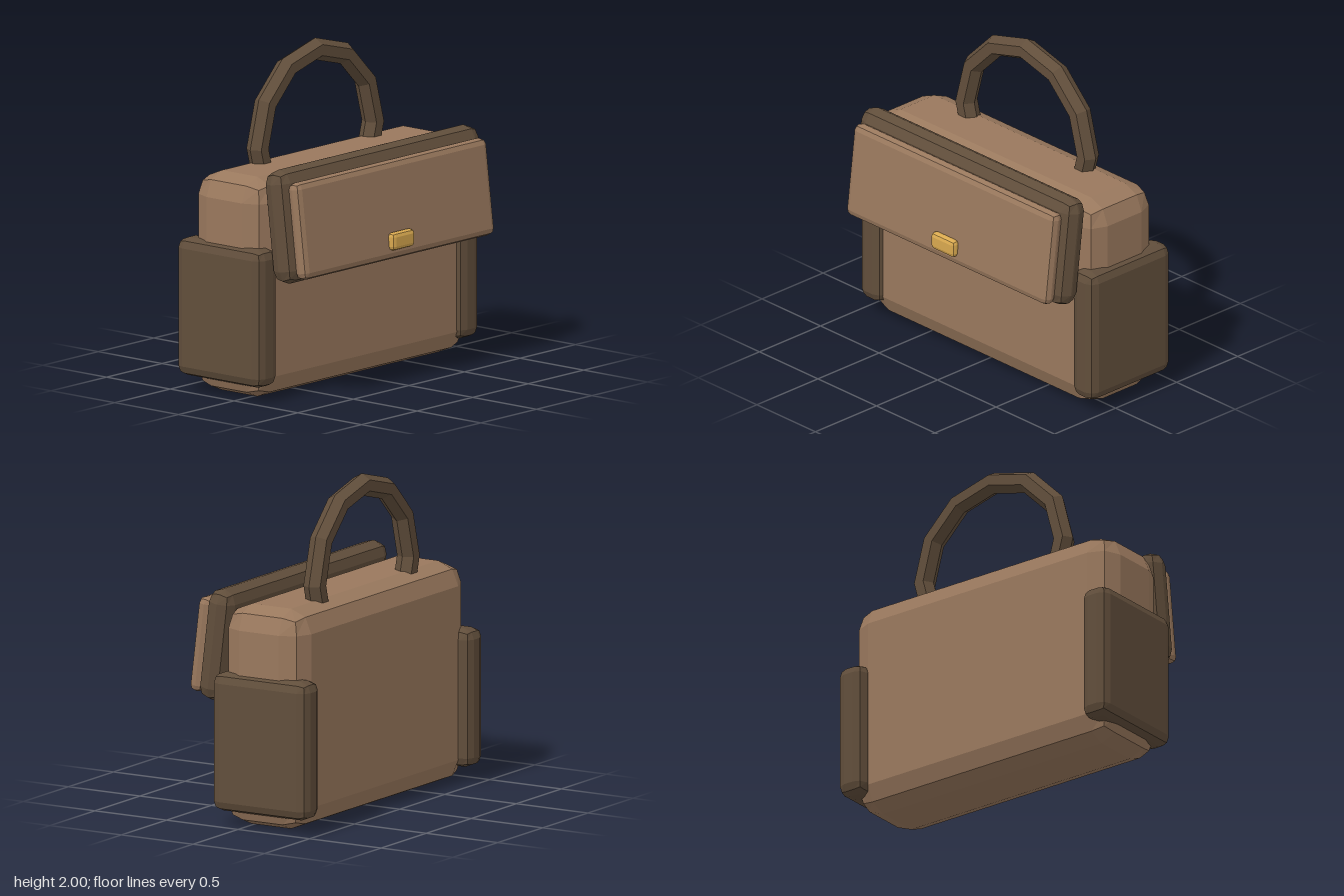
import * as THREE from 'three';
import { RoundedBoxGeometry } from 'three/addons/geometries/RoundedBoxGeometry.js';

const leather = new THREE.MeshStandardMaterial({ color: 0x99785d, flatShading: true });
const darkLeather = new THREE.MeshStandardMaterial({ color: 0x614e3b, flatShading: true });
const brass = new THREE.MeshStandardMaterial({ color: 0xd8a84f, flatShading: true });

const FLAP_TILT = -0.12;

export function createModel() {
  const bag = new THREE.Group();
  bag.name = 'bag';

  const add = (name, geometry, material, [x, y, z], tilt = 0) => {
    const mesh = new THREE.Mesh(geometry, material);
    mesh.name = name;
    mesh.position.set(x, y, z);
    mesh.rotation.x = tilt;
    bag.add(mesh);
  };

  // Box with a two-step bevel
  const bevelled = (w, h, d, r) => new RoundedBoxGeometry(w, h, d, 1, r);

  // Main body
  add('body', bevelled(1.91, 1.33, 0.557, 0.14), leather, [0, 0.665, -0.117]);

  // Side pockets wrapping the lower ends
  for (const [name, side] of [['leftPocket', 1], ['rightPocket', -1]]) {
    add(name, bevelled(0.185, 0.835, 0.665, 0.06), darkLeather, [side * 0.9075, 0.507, -0.136]);
  }

  // Tilted front flap: dark border, lighter panel and clasp
  add('flapBorder', bevelled(1.82, 0.682, 0.17, 0.08), darkLeather, [0, 1.061, 0.243], FLAP_TILT);
  add('flapPanel', bevelled(1.72, 0.582, 0.09, 0.04), leather, [0, 1.049, 0.362], FLAP_TILT);
  add('clasp', bevelled(0.2, 0.107, 0.06, 0.025), brass, [0, 0.875, 0.437]);

  // Ring handle, lower half sunk into the body
  add('handle', new THREE.TorusGeometry(0.519, 0.067, 6, 12), darkLeather, [0, 1.414, -0.234]);

  return bag;
}
